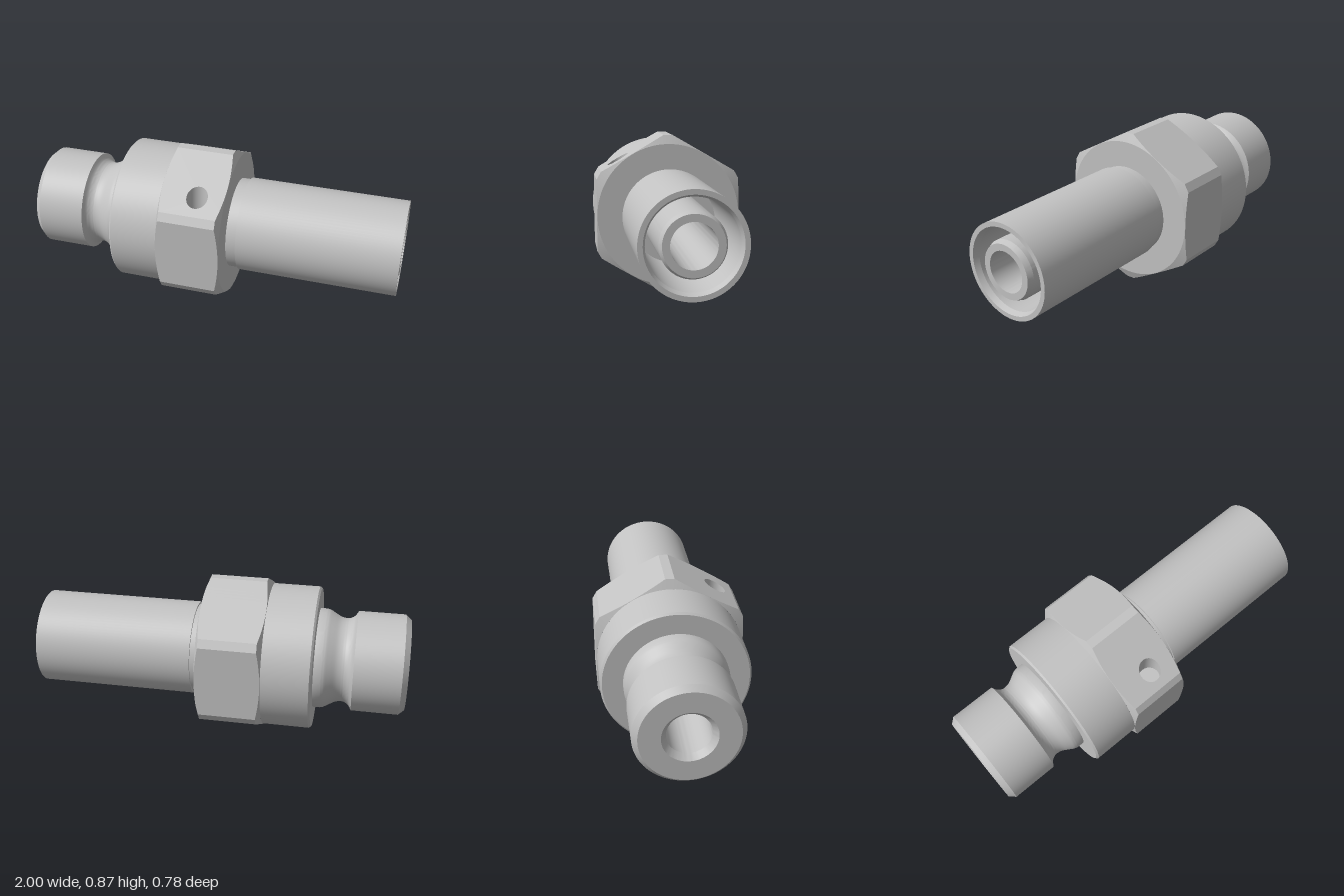
import * as THREE from 'three';
import { toCreasedNormals } from 'three/addons/utils/BufferGeometryUtils.js';

const AXIS = 0.434;                    // height of the fitting's axis
const FLAT = 0.388, CUT = 0.434;       // hex flat and trimmed corner distances
const X0 = -0.255, X1 = 0.09;          // hex ends
const END_R = 0.386, BEVEL = 0.43;     // chamfer start radius and slope
const HALF = (CUT - FLAT * Math.cos(Math.PI / 6)) / 0.5; // half width of a flat
const HOLE = { x: -0.055, z: 0.265, r: 0.056, bottom: 0.17 };

// Revolve a [radius, x] profile around the x axis
function revolve(profile) {
  const pts = profile.map(([r, x]) => new THREE.Vector2(r, x));
  const g = new THREE.LatheGeometry(pts, 96);
  g.rotateZ(-Math.PI / 2);
  return toCreasedNormals(g, 0.35);
}

// Chamfered x range of the hex where its radius is R
const hexEnds = (R) => [X0 + (R - END_R) * BEVEL, X1 - (R - END_R) * BEVEL];

// Hex nut with trimmed corners; the drilled flat is left open
function hexGeometry() {
  const pos = [];
  const section = ([angle, R]) => {
    const [a, b] = hexEnds(R);
    return [[X0, END_R], [a, R], [b, R], [X1, END_R], [X1, 0.22]]
      .map(([x, r]) => [x, r * Math.cos(angle), r * Math.sin(angle)]);
  };
  const strip = (mid, dist, half, steps, open) => {
    for (let i = 0; i < steps; i++) {
      const [A, B] = [i, i + 1].map((j) => {
        const t = half * (2 * j / steps - 1);
        return section([mid + Math.atan2(t, dist), Math.hypot(dist, t)]);
      });
      for (let s = 0; s < 4; s++) {
        if (open && s === 1) continue;
        pos.push(...A[s], ...B[s], ...B[s + 1], ...A[s], ...B[s + 1], ...A[s + 1]);
      }
    }
  };
  const cornerHalf = Math.sqrt(FLAT * FLAT + HALF * HALF - CUT * CUT);
  for (let k = 0; k < 6; k++) {
    strip(Math.PI / 6 + k * Math.PI / 3, FLAT, HALF, 20, k === 0);
    strip(k * Math.PI / 3, CUT, cornerHalf, 4, false);
  }
  const g = new THREE.BufferGeometry();
  g.setAttribute('position', new THREE.Float32BufferAttribute(pos, 3));
  return toCreasedNormals(g, 0.3);
}

// Upper front flat with the opening of the vertical drilling
function drilledFlatGeometry() {
  const low = [], high = [];
  for (let i = 0; i <= 20; i++) {
    const t = HALF * (i / 10 - 1);
    const [a, b] = hexEnds(Math.hypot(FLAT, t));
    low.push(new THREE.Vector2(t, a));
    high.unshift(new THREE.Vector2(t, b));
  }
  const shape = new THREE.Shape([...low, ...high]);
  const c = Math.cos(Math.PI / 6);
  const t = (HOLE.z - FLAT * 0.5) / c;
  shape.holes.push(new THREE.Path().absellipse(t, HOLE.x, HOLE.r / c, HOLE.r, 0, Math.PI * 2, true));
  const g = new THREE.ShapeGeometry(shape, 24);
  const n = new THREE.Vector3(0, c, 0.5);
  const m = new THREE.Matrix4().makeBasis(
    new THREE.Vector3(0, -0.5, c), new THREE.Vector3(1, 0, 0), n);
  m.setPosition(n.clone().multiplyScalar(FLAT));
  return g.applyMatrix4(m);
}

// Inward-facing wall of the drilling, its rim cut along the sloped flat
function holeWallGeometry() {
  const g = new THREE.CylinderGeometry(HOLE.r, HOLE.r, 1, 48, 1, true);
  const p = g.attributes.position;
  for (let i = 0; i < p.count; i++) {
    const z = p.getZ(i) + HOLE.z;
    const rim = (FLAT - 0.5 * z) / Math.cos(Math.PI / 6);
    p.setXYZ(i, HOLE.x - p.getX(i), p.getY(i) > 0 ? rim : HOLE.bottom, z);
  }
  return toCreasedNormals(g, 0.5);
}

export function createModel() {
  const steel = new THREE.MeshStandardMaterial({ color: 0xc2c2c2 });
  steel.name = 'steel';
  const model = new THREE.Group();
  model.name = 'hoseFitting';
  const add = (name, geometry) => {
    const mesh = new THREE.Mesh(geometry, steel);
    mesh.name = name;
    mesh.position.y = AXIS;
    model.add(mesh);
    return mesh;
  };

  // Rounded locking groove behind the plug nose
  const groove = new THREE.SplineCurve([
    [0.27, -0.72], [0.243, -0.703], [0.229, -0.68], [0.226, -0.66],
    [0.232, -0.63], [0.25, -0.597], [0.265, -0.57], [0.27, -0.55],
  ].map(([r, x]) => new THREE.Vector2(r, x))).getPoints(24).map((v) => [v.x, v.y]);

  // Plug, collar and neck
  add('plugBody', revolve([
    [0.109, -0.97], [0.135, -1], [0.243, -1], [0.27, -0.97],
    ...groove,
    [0.27, -0.515], [0.376, -0.515], [END_R, -0.505], [END_R, X0],
    [0.2, X0], [0.2, X1], [0.245, X1], [0.245, 0.145],
  ]));

  // Crimp sleeve, annular hose socket, inner nipple and through bore
  add('sleeveAndNipple', revolve([
    [0.24, 0.145], [0.255, 0.145], [0.255, 1], [0.23, 1], [0.218, 0.97],
    [0.218, 0.3], [0.157, 0.3], [0.157, 0.97], [0.145, 1],
    [0.109, 1], [0.109, -0.97],
  ]));

  // Hex with one drilled flat
  add('hexNut', hexGeometry());
  add('drilledFlat', drilledFlatGeometry());
  add('holeWall', holeWallGeometry());
  const floor = new THREE.CircleGeometry(HOLE.r, 48);
  floor.rotateX(-Math.PI / 2);
  floor.translate(HOLE.x, HOLE.bottom, HOLE.z);
  add('holeFloor', floor);

  return model;
}
